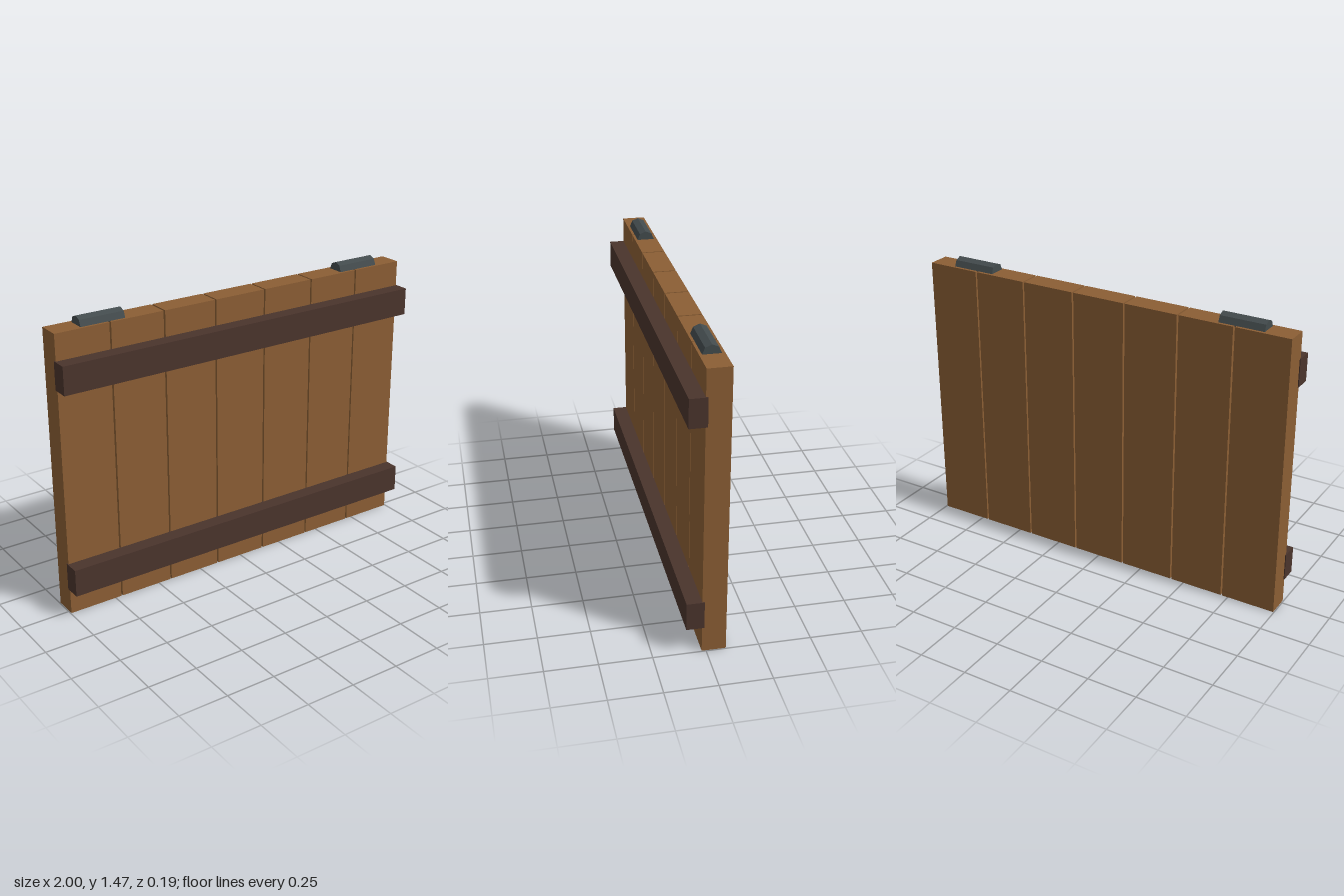
import * as THREE from 'three';

export function createModel() {
  const group = new THREE.Group();
  const material = (name, color) => {
    const m = new THREE.MeshStandardMaterial({ color, flatShading: true });
    m.name = name;
    return m;
  };
  const wood = material('plankWood', 0x8b5e34);
  const darkWood = material('battenWood', 0x4a342c);
  const iron = material('hingeIron', 0x434b4d);

  const add = (name, geometry, mat, x, y, z) => {
    const mesh = new THREE.Mesh(geometry, mat);
    mesh.name = name;
    mesh.position.set(x, y, z);
    group.add(mesh);
    return mesh;
  };

  // Seven upright planks with narrow gaps
  const plank = new THREE.BoxGeometry(0.277, 1.43, 0.114);
  for (let i = -3; i <= 3; i++) add(`plank${i + 4}`, plank, wood, i * 0.2857, 0.715, -0.037);

  // Two cross battens on the front
  const batten = new THREE.BoxGeometry(2, 0.14, 0.084);
  add('lowerBatten', batten, darkWood, 0, 0.201, 0.052);
  add('upperBatten', batten, darkWood, 0, 1.23, 0.052);

  // Eight-sided hinge barrels half sunk into the top edge
  const barrel = new THREE.CylinderGeometry(0.043, 0.043, 0.229, 8).rotateZ(Math.PI / 2);
  add('leftHinge', barrel, iron, 0.743, 1.43, -0.036);
  add('rightHinge', barrel, iron, -0.743, 1.43, -0.036);

  return group;
}
